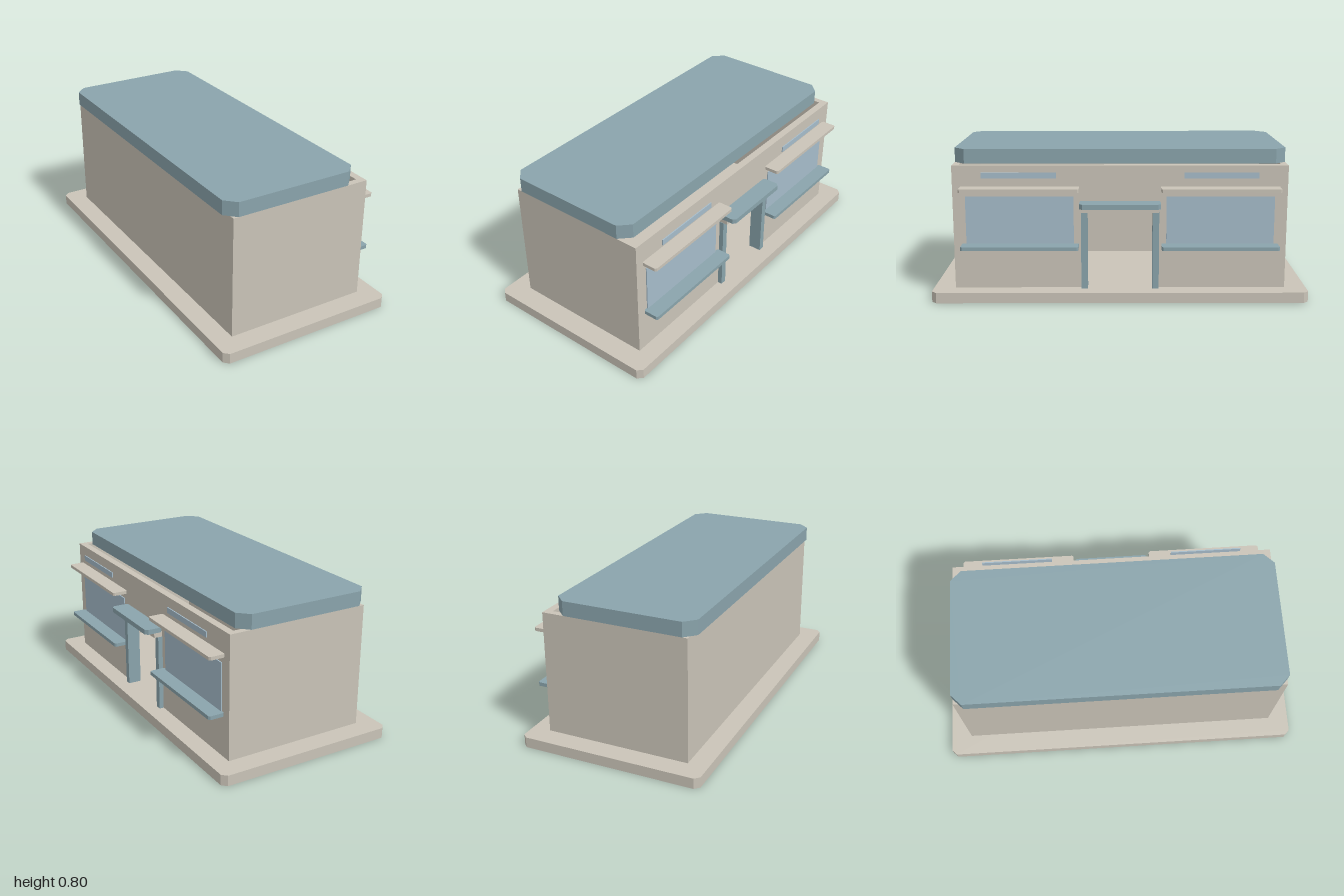
import * as THREE from 'three';

const wallMat = new THREE.MeshStandardMaterial({ name: 'warm stone', color: 0xcac4b8 });
const trimMat = new THREE.MeshStandardMaterial({ name: 'dusty teal', color: 0x8aa4ac });
const glassMat = new THREE.MeshStandardMaterial({ name: 'pale blue glass', color: 0xa6bcca });

export function createModel() {
  const model = new THREE.Group();
  model.name = 'smallBuilding';

  function add(name, geometry, material) {
    const mesh = new THREE.Mesh(geometry, material);
    mesh.name = name;
    model.add(mesh);
    return mesh;
  }

  // Box given by its limits on each axis
  function box(name, material, [x0, x1], [y0, y1], [z0, z1]) {
    const g = new THREE.BoxGeometry(x1 - x0, y1 - y0, z1 - z0);
    g.translate((x0 + x1) / 2, (y0 + y1) / 2, (z0 + z1) / 2);
    return add(name, g, material);
  }

  // Horizontal slab with its four upright corners cut off
  function slab(name, material, [x0, x1], [y0, y1], [z0, z1], cut) {
    const w = (x1 - x0) / 2, d = (z1 - z0) / 2;
    const shape = new THREE.Shape([
      [-w + cut, -d], [w - cut, -d], [w, -d + cut], [w, d - cut],
      [w - cut, d], [-w + cut, d], [-w, d - cut], [-w, -d + cut],
    ].map(([x, y]) => new THREE.Vector2(x, y)));
    const g = new THREE.ExtrudeGeometry(shape, { depth: y1 - y0, bevelEnabled: false });
    g.rotateX(-Math.PI / 2);
    g.translate((x0 + x1) / 2, y0, (z0 + z1) / 2);
    return add(name, g, material);
  }

  const floor = 0.057, top = 0.722, half = 0.885, inner = 0.85;

  // Base and roof
  slab('base', wallMat, [-0.5, 0.5], [0, floor], [-1, 1], 0.026);
  slab('roof', trimMat, [-0.42, 0.338], [top, 0.8], [-half, half], 0.057);

  // Hollow body: back wall, end walls and an entrance wall with a doorway
  box('backWall', wallMat, [-0.392, -0.355], [floor, top], [-inner, inner]);
  for (const s of [-1, 1]) {
    box('endWall', wallMat, [-0.392, 0.4], [floor, top], s > 0 ? [inner, half] : [-half, -inner]);
  }
  const doorHalf = 0.205, doorTop = 0.477;
  const entrance = new THREE.Shape([
    [-inner, floor], [-doorHalf, floor], [-doorHalf, doorTop], [doorHalf, doorTop],
    [doorHalf, floor], [inner, floor], [inner, top], [-inner, top],
  ].map(([x, y]) => new THREE.Vector2(x, y)));
  const entranceGeo = new THREE.ExtrudeGeometry(entrance, { depth: 0.04, bevelEnabled: false });
  entranceGeo.rotateY(Math.PI / 2);
  entranceGeo.translate(0.36, 0, 0);
  add('entranceWall', entranceGeo, wallMat);

  // Door surround and canopy
  box('doorLintel', wallMat, [0.39, 0.447], [0.477, 0.506], [-0.205, 0.205]);
  slab('doorCanopy', trimMat, [0.398, 0.5], [0.506, 0.533], [-0.213, 0.213], 0.015);

  // Paired parts on both sides of the door
  for (const s of [-1, 1]) {
    const span = (a, b) => (s > 0 ? [a, b] : [-b, -a]);
    box('doorPost', trimMat, [0.352, 0.425], [floor, doorTop], span(0.173, 0.207));
    box('windowPane', glassMat, [0.398, 0.406], [0.295, 0.557], span(0.246, 0.818));
    slab('windowSill', trimMat, [0.398, 0.485], [0.281, 0.301], span(0.22, 0.84), 0.008);
    slab('windowAwning', wallMat, [0.398, 0.485], [0.592, 0.61], span(0.215, 0.842), 0.008);
    box('signStrip', glassMat, [0.43, 0.436], [0.659, 0.69], span(0.335, 0.727));
  }
  return model;
}
